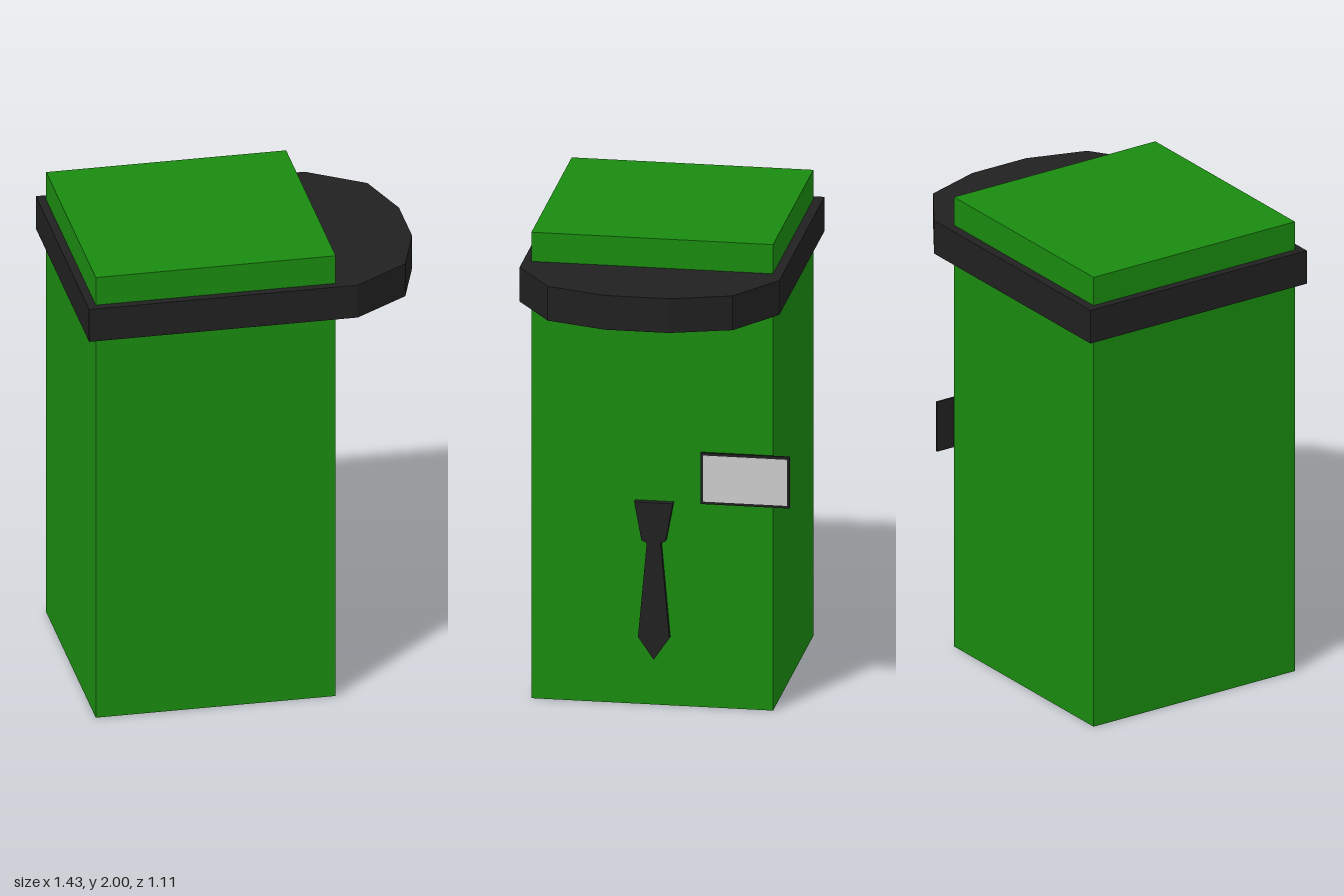
import * as THREE from 'three';

const green = new THREE.MeshStandardMaterial({ color: 0x1a8a10 });
const black = new THREE.MeshStandardMaterial({ color: 0x202020 });
const grey = new THREE.MeshStandardMaterial({ color: 0xcccccc });

function add(parent, name, geometry, material) {
  const mesh = new THREE.Mesh(geometry, material);
  mesh.name = name;
  parent.add(mesh);
  return mesh;
}

function extrude(points, depth) {
  const shape = new THREE.Shape(points.map(([a, b]) => new THREE.Vector2(a, b)));
  return new THREE.ExtrudeGeometry(shape, { depth, bevelEnabled: false });
}

// Plate facing +x, outlined by [z, y] points, starting at the given x
function sidePlate(points, x, depth) {
  return extrude(points.map(([z, y]) => [-z, y]), depth).rotateY(Math.PI / 2).translate(x, 0, 0);
}

export function createModel() {
  const model = new THREE.Group();
  model.name = 'boxWithCap';

  // Tall square body
  add(model, 'body', new THREE.BoxGeometry(1, 2, 1), green).position.set(-0.18, 1, 0.02);

  // Hat band with a faceted peak towards +x, outlined by [x, z] points
  const brim = [
    [-0.715, 0.555], [0.405, 0.555], [0.635, 0.4], [0.715, 0.15],
    [0.715, -0.115], [0.635, -0.365], [0.405, -0.52], [-0.715, -0.52],
  ].map(([x, z]) => [x, -z]);
  add(model, 'capBrim', extrude(brim, 0.147).rotateX(-Math.PI / 2).translate(0, 1.728, 0), black);

  // Tie on the +x face
  const tie = new THREE.Group();
  tie.name = 'tie';
  model.add(tie);
  const knot = [[0.09, 0.875], [0.06, 0.712], [0.04, 0.702], [-0.018, 0.702], [-0.04, 0.712], [-0.07, 0.875]];
  const blade = [[0.038, 0.71], [0.075, 0.295], [0.01, 0.2], [-0.055, 0.295], [-0.018, 0.71]];
  add(tie, 'tieKnot', sidePlate(knot, 0.315, 0.035), black);
  add(tie, 'tieBlade', sidePlate(blade, 0.315, 0.03), black);

  // Name badge: dark backing with a light face, overhanging the body edge
  const badge = new THREE.Group();
  badge.name = 'badge';
  badge.position.set(0.34, 0.989, -0.368);
  model.add(badge);
  add(badge, 'badgeFrame', new THREE.BoxGeometry(0.01, 0.22, 0.37), black);
  add(badge, 'badgeFace', new THREE.BoxGeometry(0.004, 0.198, 0.348), grey).position.x = 0.004;

  return model;
}
